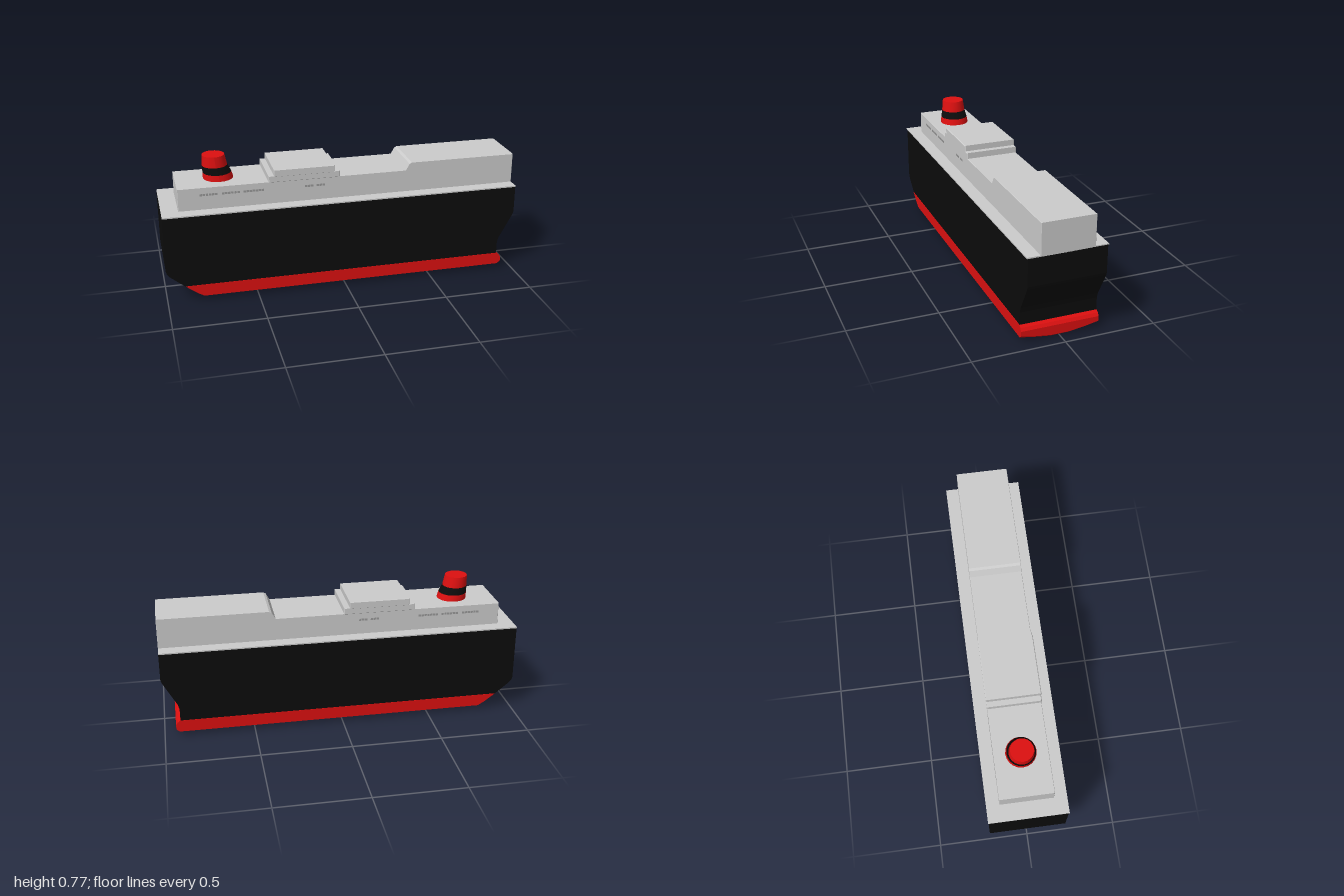
import * as THREE from 'three';

const mat = (color) => new THREE.MeshStandardMaterial({ color, flatShading: true });
const GREY = mat(0xcccccc), BLACK = mat(0x0c0c0c), RED = mat(0xdd1010), SLOT = mat(0x999999);
const smooth = (m) => { const c = m.clone(); c.flatShading = false; return c; };
const RED_SMOOTH = smooth(RED), BLACK_SMOOTH = smooth(BLACK);

export function createModel() {
  const ship = new THREE.Group();
  ship.name = 'ship';

  const add = (name, geometry, material, x = 0, y = 0, z = 0) => {
    const m = new THREE.Mesh(geometry, material);
    m.name = name;
    m.position.set(x, y, z);
    ship.add(m);
    return m;
  };

  // Side profile extruded across the beam, with an optional small edge chamfer
  const slab = (points, halfWidth, bevel = 0) => {
    const shape = new THREE.Shape(points.map(([x, y]) => new THREE.Vector2(x, y)));
    const geo = new THREE.ExtrudeGeometry(shape, {
      depth: 2 * (halfWidth - bevel), bevelEnabled: bevel > 0, bevelSize: bevel,
      bevelOffset: -bevel, bevelThickness: bevel, bevelSegments: 1,
    });
    return geo.translate(0, 0, bevel - halfWidth);
  };

  // Upper hull: raked stern and flared bow
  add('upperHull', slab([
    [-1, 0.505], [-1, 0.195], [-0.995, 0.178], [-0.98, 0.16], [-0.9, 0.095],
    [0.91, 0.095], [0.91, 0.165], [0.918, 0.195], [0.995, 0.335], [1, 0.352], [1, 0.505],
  ], 0.212), BLACK);

  // Lower hull: lengthwise profiles lofted across a shallow V bottom
  add('lowerHull', lowerHullGeometry(), RED);

  // Deck plate
  add('deck', new THREE.BoxGeometry(2, 0.007, 0.434), GREY, 0, 0.507, 0);

  // Long deckhouse with raised forward block
  add('deckhouse', slab([
    [-0.908, 0.505], [1, 0.505], [1, 0.68], [0.395, 0.68], [0.381, 0.673],
    [0.36, 0.636], [-0.908, 0.636],
  ], 0.146, 0.002), GREY);

  // Two-step bridge block
  add('bridgeLower', slab([
    [-0.416, 0.63], [-0.018, 0.63], [-0.018, 0.67], [-0.416, 0.67],
  ], 0.148, 0.004), GREY);
  add('bridgeUpper', slab([
    [-0.386, 0.66], [-0.05, 0.66], [-0.05, 0.703], [-0.386, 0.703],
  ], 0.149, 0.004), GREY);

  // Rows of small windows on both sides
  const rows = [[-0.79, 6], [-0.67, 6], [-0.555, 7], [-0.215, 3], [-0.15, 3]];
  const windowGeo = new THREE.BoxGeometry(0.013, 0.012, 0.002);
  for (const side of [-1, 1]) {
    for (const [start, count] of rows) {
      for (let i = 0; i < count; i++) {
        add('window', windowGeo, SLOT, start + 0.007 + i * 0.0165, 0.594, side * 0.1462);
      }
    }
  }

  // Funnel: upright aft edge, sloping forward edge, black band in the middle
  const rings = [
    { y: 0.63, r: 0.084, x: -0.67 },
    { y: 0.67, r: 0.078, x: -0.676 },
    { y: 0.71, r: 0.069, x: -0.687 },
    { y: 0.77, r: 0.062, x: -0.693 },
  ];
  const parts = [['funnelBase', RED_SMOOTH], ['funnelBand', BLACK_SMOOTH], ['funnelTop', RED_SMOOTH]];
  parts.forEach(([name, material], i) => {
    const a = rings[i], b = rings[i + 1], h = b.y - a.y;
    const geo = new THREE.CylinderGeometry(b.r, a.r, h, 20);
    const p = geo.attributes.position;
    for (let v = 0; v < p.count; v++) {
      p.setX(v, p.getX(v) + THREE.MathUtils.lerp(a.x, b.x, p.getY(v) / h + 0.5));
    }
    geo.computeVertexNormals();
    add(name, geo, material, 0, (a.y + b.y) / 2, 0);
  });

  return ship;
}

// One closed lengthwise profile per z station, joined and capped
function lowerHullGeometry() {
  const stations = [[-0.214, 0.028], [-0.14, 0.014], [-0.05, 0.002],
    [0.05, 0.002], [0.14, 0.014], [0.214, 0.028]];
  const loops = stations.map(([z, keel]) => [
    [-0.9, 0.096], [-0.835, keel + 0.02], [-0.8, keel], [0.917, keel],
    [0.936, keel + 0.015], [0.936, 0.07], [0.925, 0.086], [0.91, 0.096],
  ].map(([x, y]) => [x, y, z]));
  const n = loops[0].length, index = [];
  for (let s = 0; s < loops.length - 1; s++) {
    for (let i = 0; i < n; i++) {
      const j = (i + 1) % n, a = s * n + i, b = s * n + j;
      index.push(a, b, b + n, a, b + n, a + n);
    }
  }
  const last = (loops.length - 1) * n;
  for (let i = 1; i < n - 1; i++) {
    index.push(0, i + 1, i, last, last + i, last + i + 1);
  }
  const geo = new THREE.BufferGeometry();
  geo.setAttribute('position', new THREE.Float32BufferAttribute(loops.flat(2), 3));
  geo.setIndex(index);
  geo.computeVertexNormals();
  return geo;
}
